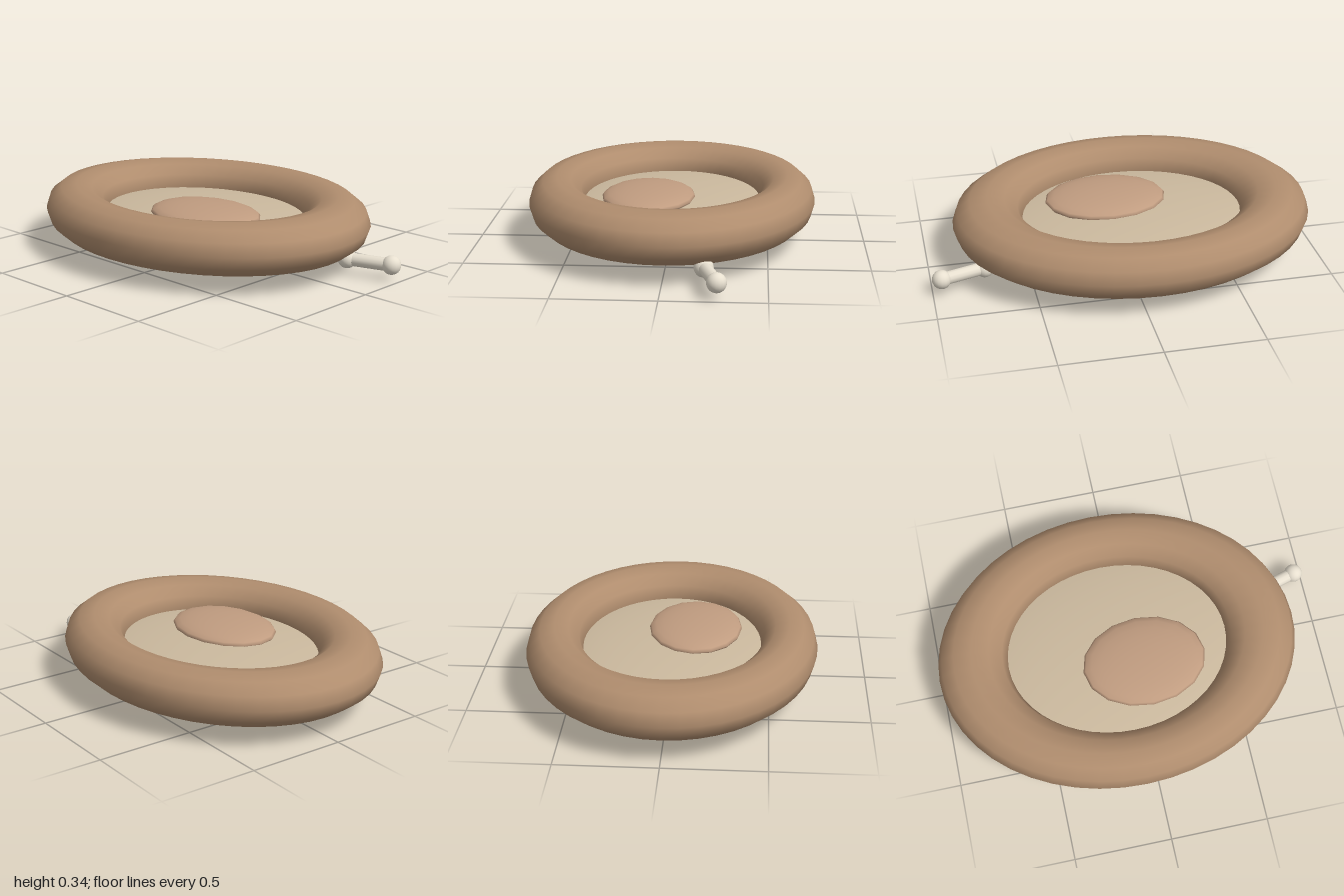
import * as THREE from 'three';

function addMesh(parent, name, geometry, color) {
  const mesh = new THREE.Mesh(geometry, new THREE.MeshStandardMaterial({ color }));
  mesh.name = name;
  parent.add(mesh);
  return mesh;
}

export function createModel() {
  const model = new THREE.Group();
  model.name = 'petBed';

  // Oval padded rim, a squashed ring
  const rimGeometry = new THREE.TorusGeometry(0.75, 0.18, 12, 48).rotateX(Math.PI / 2);
  rimGeometry.scale(1, 0.13 / 0.18, 0.8);
  addMesh(model, 'rim', rimGeometry, 0xb08d6e).position.set(-0.07, 0.21, 0);

  // Shallow cushion filling the rim and bulging underneath
  const cushionGeometry = new THREE.SphereGeometry(1, 40, 24).scale(0.806, 0.12, 0.645);
  addMesh(model, 'cushion', cushionGeometry, 0xcbb99e).position.set(-0.07, 0.123, 0);

  // Small flat pillow lying on the cushion
  const pillowGeometry = new THREE.SphereGeometry(1, 16, 12).scale(0.318, 0.05, 0.24);
  addMesh(model, 'pillow', pillowGeometry, 0xc09c80).position.set(0.048, 0.244, 0.115);

  // Bone toy tucked under the rim
  const bone = new THREE.Group();
  bone.name = 'bone';
  const ends = [new THREE.Vector3(0.73, 0.08, -0.196), new THREE.Vector3(0.952, 0.08, -0.263)];
  const shaftLength = ends[0].distanceTo(ends[1]);
  const shaft = addMesh(bone, 'boneShaft', new THREE.CylinderGeometry(0.033, 0.033, shaftLength, 12), 0xe8e0d0);
  shaft.position.copy(ends[0]).lerp(ends[1], 0.5);
  shaft.quaternion.setFromUnitVectors(
    new THREE.Vector3(0, 1, 0),
    ends[1].clone().sub(ends[0]).normalize(),
  );
  for (const end of ends) {
    addMesh(bone, 'boneKnob', new THREE.SphereGeometry(0.048, 16, 12), 0xe8e0d0).position.copy(end);
  }
  model.add(bone);

  return model;
}
